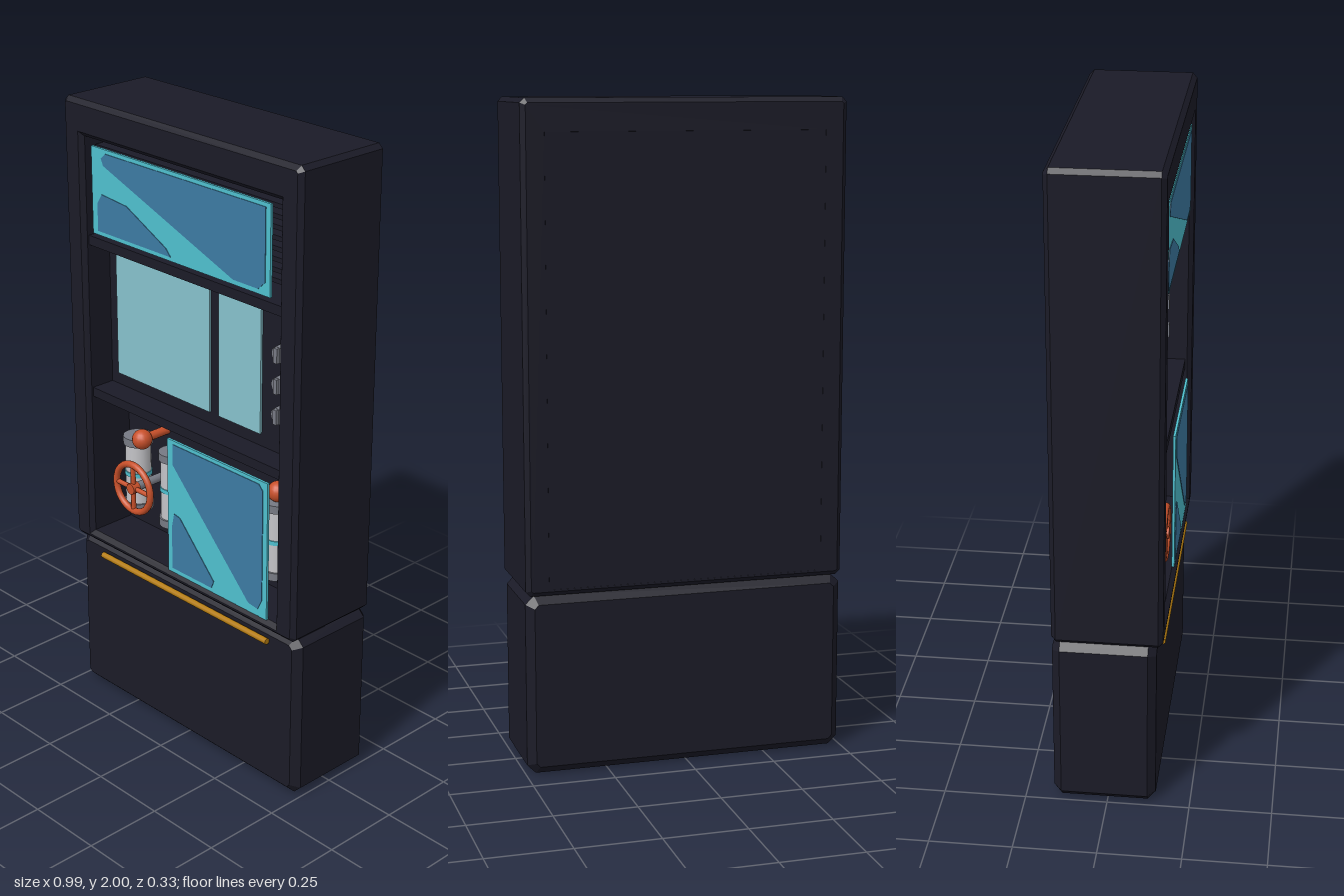
import * as THREE from 'three';

const mat = (name, color) => {
  const m = new THREE.MeshStandardMaterial({ color });
  m.name = name;
  return m;
};

export function createModel() {
  const root = new THREE.Group();
  root.name = 'wallCabinet';
  const body = mat('charcoal', 0x1b1b27);
  const cyan = mat('cyanGlass', 0x4fc0cf);
  const blue = mat('blueReflection', 0x3c7ba3);
  const pale = mat('paleDisplay', 0x86c2cc);
  const orange = mat('orangeValve', 0xc8502a);
  const white = mat('lightTank', 0xc4c4c8);
  const grey = mat('greyMetal', 0x777a84);
  const gold = mat('goldTrim', 0xb47c10);

  const add = (name, geo, material, x = 0, y = 0, z = 0, parent = root) => {
    const m = new THREE.Mesh(geo, material);
    m.name = name;
    m.position.set(x, y, z);
    parent.add(m);
    return m;
  };
  // Box given by its extents
  const box = (name, x0, x1, y0, y1, z0, z1, material) =>
    add(name, new THREE.BoxGeometry(x1 - x0, y1 - y0, z1 - z0), material,
      (x0 + x1) / 2, (y0 + y1) / 2, (z0 + z1) / 2);
  const poly = (pts) => new THREE.Shape(pts.map(([x, y]) => new THREE.Vector2(x, y)));
  const cutRect = (w, y0, y1, c) => poly([
    [-w + c, y0], [w - c, y0], [w, y0 + c], [w, y1 - c],
    [w - c, y1], [-w + c, y1], [-w, y1 - c], [-w, y0 + c]]);
  // Chamfered slab between two depths
  const slab = (name, shape, z0, z1, b) => add(name, new THREE.ExtrudeGeometry(shape, {
    depth: z1 - z0 - 2 * b, bevelEnabled: true, bevelSegments: 1,
    bevelSize: b, bevelThickness: b, bevelOffset: -b,
  }), body, 0, 0, z0 + b);

  // Cabinet shells
  slab('lowerCabinet', cutRect(0.494, 0, 0.548, 0.026), -0.165, 0.145, 0.024);
  const frame = cutRect(0.494, 0.548, 2, 0.014);
  frame.holes.push(new THREE.Path([[-0.412, 0.582], [-0.412, 1.89], [0.412, 1.89], [0.412, 0.582]]
    .map(([x, y]) => new THREE.Vector2(x, y))));
  slab('upperFrame', frame, -0.165, 0.165, 0.014);
  box('backWall', -0.43, 0.43, 0.566, 1.91, -0.1648, 0, body);
  for (const y of [1.05, 1.55]) box('shelf', -0.415, 0.415, y, y + 0.03, -0.02, 0.145, body);
  box('controlPanel', -0.415, 0.415, 1.07, 1.56, -0.02, 0.065, body);

  // Louvres in the top bay
  for (let i = 0; i < 8; i++) {
    const y = 1.63 + i * 0.031;
    box('louvre', -0.4, 0.4, y, y + 0.014, -0.01, 0.12, body);
  }

  // Displays on the control panel
  box('wideDisplay', -0.375, 0.04, 1.12, 1.515, 0.064, 0.072, pale);
  box('narrowDisplay', 0.08, 0.255, 1.12, 1.515, 0.064, 0.072, pale);

  // Control knobs
  for (const y of [1.21, 1.305, 1.4]) {
    const knob = add('knob', new THREE.CylinderGeometry(0.025, 0.027, 0.025, 16), grey, 0.34, y, 0.077);
    knob.rotation.x = Math.PI / 2;
    box('knobGrip', 0.333, 0.347, y - 0.023, y + 0.023, 0.085, 0.1, grey);
  }

  // Front glass panes with flat reflections
  const pane = (name, x0, x1, y0, y1, patches) => {
    box(name, x0, x1, y0, y1, 0.15, 0.158, cyan);
    for (const pts of patches) {
      add(name + 'Reflection', new THREE.ExtrudeGeometry(poly(pts), { depth: 0.002, bevelEnabled: false }),
        blue, 0, 0, 0.158);
    }
  };
  pane('topGlass', -0.375, 0.375, 1.6, 1.87, [
    [[-0.32, 1.82], [0.23, 1.615], [0.33, 1.615], [0.357, 1.64], [0.357, 1.858], [-0.31, 1.858], [-0.33, 1.84]],
    [[-0.35, 1.613], [-0.03, 1.613], [-0.05, 1.635], [-0.22, 1.72], [-0.33, 1.73], [-0.35, 1.7]],
  ]);
  pane('lowerGlass', -0.055, 0.375, 0.58, 1.03, [
    [[-0.03, 0.95], [0.3, 0.61], [0.34, 0.605], [0.357, 0.64], [0.357, 1.0], [0.34, 1.018], [-0.03, 1.018]],
    [[-0.035, 0.595], [0.14, 0.595], [0.15, 0.62], [0, 0.78], [-0.025, 0.785], [-0.035, 0.74]],
  ]);

  // Paired tanks with end caps and a connecting line
  const tanks = (cx) => {
    const g = new THREE.Group();
    g.name = 'tankPair';
    g.position.set(cx, 0.795, 0.05);
    root.add(g);
    for (const s of [-1, 1]) {
      const x = s * 0.083;
      add('tank', new THREE.CylinderGeometry(0.041, 0.041, 0.23, 20), white, x, 0, 0, g);
      for (const y of [-0.112, 0.112]) {
        add('tankCap', new THREE.CylinderGeometry(0.047, 0.047, 0.026, 20), grey, x, y, 0, g);
      }
      add('tankBand', new THREE.CylinderGeometry(0.044, 0.044, 0.014, 20), cyan, x, 0, 0, g);
    }
  };
  tanks(-0.23);
  tanks(0.23);

  // Forward-facing round rod
  const rod = (name, r, x, y, z0, z1, material) => {
    const m = add(name, new THREE.CylinderGeometry(r, r, z1 - z0, 12), material, x, y, (z0 + z1) / 2);
    m.rotation.x = Math.PI / 2;
  };

  // Valve wheel
  add('valveWheel', new THREE.TorusGeometry(0.079, 0.011, 10, 32), orange, -0.23, 0.795, 0.145);
  for (const a of [0, Math.PI / 2]) {
    const spoke = add('valveSpoke', new THREE.CylinderGeometry(0.008, 0.008, 0.158, 8), orange, -0.23, 0.795, 0.145);
    spoke.rotation.z = a;
  }
  rod('valveHub', 0.018, -0.23, 0.795, 0.13, 0.158, orange);
  rod('valveStem', 0.014, -0.23, 0.795, 0, 0.14, grey);

  // Release buttons
  for (const [x, z] of [[-0.23, 0.11], [0.315, 0.06]]) {
    rod('buttonStem', 0.014, x, 0.95, 0, z, orange);
    add('releaseButton', new THREE.SphereGeometry(0.032, 16, 12), orange, x, 0.95, z - 0.005);
  }

  // Gold trim bar
  const bar = add('trimBar', new THREE.CylinderGeometry(0.01, 0.01, 0.75, 10), gold, 0, 0.505, 0.153);
  bar.rotation.z = Math.PI / 2;

  return root;
}
